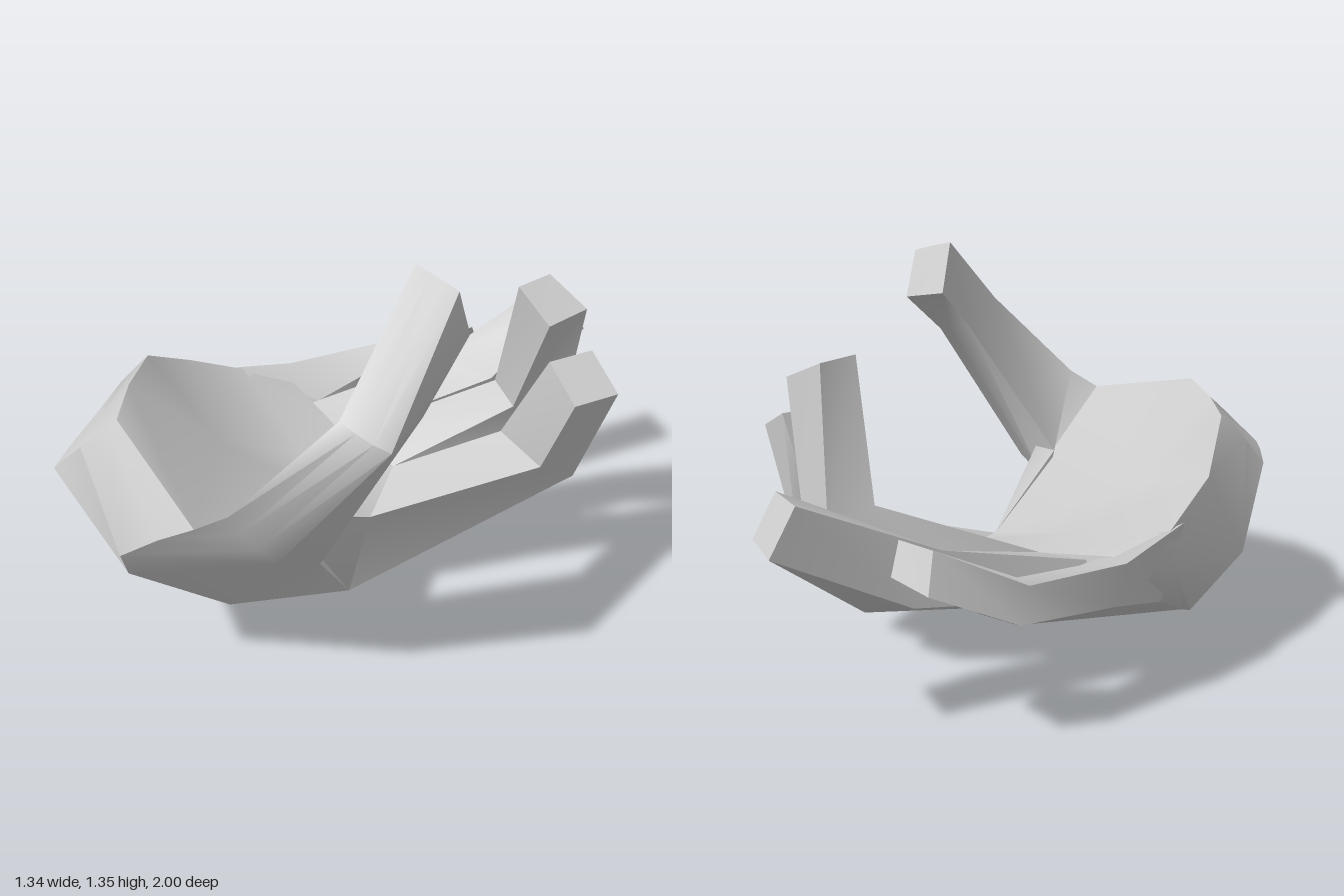
import * as THREE from 'three';
import { toCreasedNormals } from 'three/addons/utils/BufferGeometryUtils.js';

const material = new THREE.MeshStandardMaterial({ color: 0xcccccc, side: THREE.DoubleSide });

// Skin a body over cross-sections that share a corner count.
// caps lists the sections to close; isHole(section, corner) leaves room for a joining part.
function loft(name, sections, caps, isHole = () => false) {
  const n = sections[0].length;
  const points = sections.flat().map((p) => new THREE.Vector3(...p));
  const faces = [];
  for (let s = 0; s < sections.length - 1; s++) {
    for (let i = 0; i < n; i++) {
      if (isHole(s, i)) continue;
      const a = s * n + i, b = s * n + (i + 1) % n;
      faces.push([a, b, b + n], [a, b + n, a + n]);
    }
  }
  // Fan caps around the middle of a section
  for (const end of caps) {
    const middle = new THREE.Vector3();
    for (let i = 0; i < n; i++) middle.addScaledVector(points[end * n + i], 1 / n);
    const m = points.push(middle) - 1;
    for (let i = 0; i < n; i++) {
      const a = end * n + i, b = end * n + (i + 1) % n;
      faces.push(end === 0 ? [m, b, a] : [m, a, b]);
    }
  }
  // Turn the faces outward if the volume around the middle is negative
  const centre = new THREE.Vector3();
  for (const p of points) centre.addScaledVector(p, 1 / points.length);
  const local = points.map((p) => p.clone().sub(centre));
  const cross = new THREE.Vector3();
  let volume = 0;
  for (const [a, b, c] of faces) volume += local[a].dot(cross.crossVectors(local[b], local[c]));
  if (volume < 0) faces.forEach((f) => f.reverse());

  const geometry = new THREE.BufferGeometry().setFromPoints(points);
  geometry.setIndex(faces.flat());
  const mesh = new THREE.Mesh(toCreasedNormals(geometry, 0.9), material);
  mesh.name = name;
  return mesh;
}

export function createModel() {
  const hand = new THREE.Group();
  hand.name = 'hand';

  // Palm: wrist stump, heel, middle, finger roots
  // corners: little-finger side top, hollow, thumb side top to bottom (5), little-finger side bottom, middle
  const wrist = [[-0.56, 0.823, 0.5], [-0.43, 0.83, 0.67], [-0.27, 0.835, 0.83], [-0.3, 0.805, 0.843],
    [-0.4, 0.71, 0.887], [-0.5, 0.61, 0.93], [-0.56, 0.62, 0.83], [-0.66, 0.64, 0.64], [-0.62, 0.73, 0.575]];
  const heel = [[-0.64, 0.69, 0.27], [-0.32, 0.56, 0.42], [0.19, 0.71, 0.92], [0.07, 0.635, 0.96],
    [-0.07, 0.53, 1.0], [-0.1, 0.43, 0.96], [0, 0.2, 0.67], [-0.6, 0.21, 0.27], [-0.67, 0.36, 0.5]];
  const middle = [[-0.63, 0.57, 0.04], [-0.2, 0.43, 0.15], [0.13, 0.345, 0.165], [0.11, 0.26, 0.17],
    [0.09, 0.17, 0.17], [0.06, 0.09, 0.18], [0.04, 0, 0.18], [-0.58, 0.215, 0.25], [-0.64, 0.42, 0.08]];
  const roots = [[-0.57, 0.52, -0.1], [-0.21, 0.43, -0.05], [0.04, 0.41, -0.04], [0.04, 0.34, -0.04],
    [0.04, 0.27, -0.04], [0.04, 0.2, -0.04], [0.04, 0.13, -0.04], [-0.42, 0.35, -0.12], [-0.55, 0.42, -0.1]];
  // the thumb and the index finger grow out of the thumb side
  hand.add(loft('palm', [wrist, heel, middle, roots], [0, 3], (s, i) => s > 0 && i > 1 && i < 6));

  // Thumb: root on the palm, base, knuckle, tip
  // corners: top front, three down the outer side, outer back, web underside, inner
  hand.add(loft('thumb', [
    [...heel.slice(2, 7), middle[6], middle[2]],
    [[0.28, 0.77, 0.87], [0.295, 0.71, 0.84], [0.31, 0.64, 0.8], [0.325, 0.57, 0.74],
      [0.34, 0.475, 0.62], [0.2, 0.46, 0.54], [0.14, 0.55, 0.55]],
    [[0.5, 1.07, 0.66], [0.545, 1.045, 0.645], [0.59, 1.02, 0.625], [0.63, 1.0, 0.6],
      [0.55, 0.99, 0.39], [0.5, 1.0, 0.385], [0.42, 1.02, 0.39]],
    [[0.38, 1.345, 0.24], [0.43, 1.333, 0.238], [0.48, 1.32, 0.235], [0.53, 1.305, 0.23],
      [0.52, 1.15, 0.165], [0.45, 1.163, 0.167], [0.36, 1.18, 0.17]],
  ], [3]));

  // Fingers: root, knuckle, tip
  // corners: thumb side top, thumb side bottom, far side bottom, far side top
  const fingers = {
    indexFinger: [
      [middle[2], middle[6], roots[6], roots[2]],
      [[0.48, 0.49, -0.28], [0.51, 0.4, -0.43], [0.36, 0.45, -0.46], [0.27, 0.52, -0.33]],
      [[0.62, 0.79, -0.24], [0.67, 0.79, -0.4], [0.52, 0.87, -0.46], [0.47, 0.87, -0.3]],
    ],
    middleFinger: [
      [roots[2], roots[6], [-0.21, 0.25, -0.08], roots[1]],
      [[0.28, 0.6, -0.38], [0.36, 0.48, -0.54], [0.19, 0.58, -0.61], [0.15, 0.63, -0.44]],
      [[0.46, 0.99, -0.3], [0.48, 1.0, -0.47], [0.32, 1.07, -0.48], [0.31, 1.07, -0.33]],
    ],
    ringFinger: [
      [roots[1], [-0.21, 0.25, -0.08], roots[7], [-0.41, 0.465, -0.08]],
      [[0.04, 0.55, -0.56], [0.03, 0.37, -0.63], [-0.14, 0.42, -0.6], [-0.17, 0.58, -0.5]],
      [[0.15, 0.8, -0.85], [0.18, 0.67, -0.92], [0.03, 0.67, -1], [0, 0.81, -0.92]],
    ],
    littleFinger: [
      [[-0.49, 0.45, 0.2], [-0.42, 0.29, 0.08], [-0.58, 0.3, 0.1], [-0.65, 0.59, 0.1]],
      [[-0.41, 0.46, -0.12], [-0.42, 0.34, -0.16], [-0.58, 0.39, -0.18], [-0.6, 0.53, -0.16]],
      [[-0.37, 0.51, -0.4], [-0.36, 0.4, -0.45], [-0.47, 0.43, -0.52], [-0.47, 0.54, -0.48]],
      [[-0.14, 0.66, -0.66], [-0.16, 0.57, -0.72], [-0.33, 0.57, -0.76], [-0.3, 0.68, -0.7]],
    ],
  };
  for (const [name, sections] of Object.entries(fingers)) {
    hand.add(loft(name, sections, [sections.length - 1]));
  }

  return hand;
}
